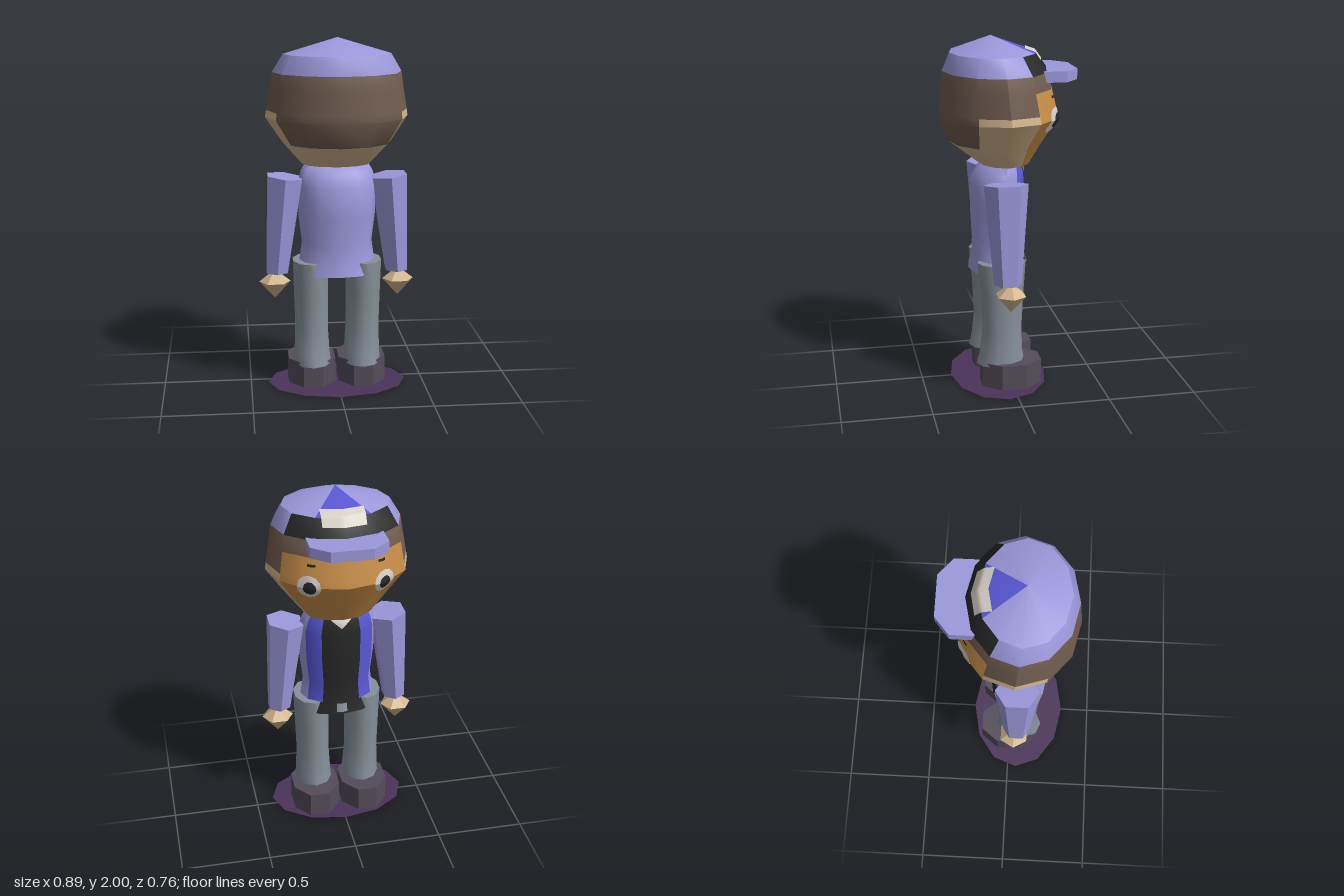
import * as THREE from 'three';
import { toCreasedNormals } from 'three/addons/utils/BufferGeometryUtils.js';

const mat = (name, color) => {
  const m = new THREE.MeshStandardMaterial({ color, side: THREE.DoubleSide });
  m.name = name;
  return m;
};

// Stack of elliptical rings [y, cx, cz, rx, rz, slope]; column 0 starts at -z, the side the figure faces.
// pick(row, k) chooses a material index; k counts columns away from the facing side.
function loft(rings, n, { phase = 0, crease = 0.8, pick = () => 0 } = {}) {
  const pos = [], buckets = [];
  for (const [y, cx, cz, rx, rz, slope = 0] of rings) {
    for (let j = 0; j < n; j++) {
      const t = ((j + phase) / n) * Math.PI * 2;
      const dx = rx * Math.sin(t);
      pos.push(cx + dx, y + dx * slope, cz - rz * Math.cos(t));
    }
  }
  for (let i = 0; i < rings.length - 1; i++) {
    for (let j = 0; j < n; j++) {
      const a = i * n + j, b = i * n + ((j + 1) % n), d = a + n, c = b + n;
      const list = (buckets[pick(i, Math.min(j, n - 1 - j))] ??= []);
      if (rings[i + 1][3] > 0) list.push(a, d, c);
      if (rings[i][3] > 0) list.push(a, c, b);
    }
  }
  const geo = new THREE.BufferGeometry();
  geo.setAttribute('position', new THREE.Float32BufferAttribute(pos, 3));
  const index = [];
  buckets.forEach((list, m) => {
    geo.addGroup(index.length, list.length, m);
    index.push(...list);
  });
  geo.setIndex(index);
  return toCreasedNormals(geo, crease);
}

// Thin patch laid on a target: at(u, v) gives ray starts, cast along dir, lifted back by lift.
function drape(target, at, dir, nu, nv, lift) {
  const ray = new THREE.Raycaster();
  const pos = [], index = [];
  for (let i = 0; i <= nv; i++) {
    for (let j = 0; j <= nu; j++) {
      const start = at(j / nu, i / nv);
      ray.set(start, dir);
      const hit = ray.intersectObject(target)[0];
      const p = (hit ? hit.point : start).clone().addScaledVector(dir, -lift);
      pos.push(p.x, p.y, p.z);
      if (i < nv && j < nu) {
        const a = i * (nu + 1) + j, b = a + 1, c = a + nu + 1;
        index.push(a, c, b, b, c, c + 1);
      }
    }
  }
  const geo = new THREE.BufferGeometry();
  geo.setAttribute('position', new THREE.Float32BufferAttribute(pos, 3));
  geo.setIndex(index);
  geo.computeVertexNormals();
  return geo;
}

export function createModel() {
  const group = new THREE.Group();
  const purple = mat('lilac cloth', 0x9c98dc), blue = mat('blue cloth', 0x5a57d6);
  const black = mat('black', 0x272727), white = mat('off white', 0xdad2c8);
  const hair = mat('brown hair', 0x705c4f), skin = mat('skin', 0xd2b58c);
  const face = mat('orange face', 0xc98f48), grey = mat('grey trousers', 0x87919b);
  const leather = mat('shoe leather', 0x544d5a), shade = mat('dark purple base', 0x4a345a);
  const add = (name, geo, material) => {
    const mesh = new THREE.Mesh(geo, material);
    mesh.name = name;
    group.add(mesh);
    return mesh;
  };
  const V = (x, y, z) => new THREE.Vector3(x, y, z);
  const inward = V(0, 0, 1), down = V(0, -1, 0);

  // Base disc
  const disc = new THREE.CircleGeometry(1, 12).rotateX(-Math.PI / 2).scale(0.4, 1, 0.28);
  add('baseDisc', disc.translate(0, 0.004, 0.05), shade);

  // Head with face, hair and cap crown
  const head = add('head', loft([
    [1.29, 0, 0.015, 0, 0],
    [1.29, 0, 0.015, 0.195, 0.145],
    [1.42, 0, 0.06, 0.305, 0.268],
    [1.56, 0, 0.04, 0.4, 0.337],
    [1.6, 0, 0.043, 0.394, 0.331],
    [1.72, 0, 0.053, 0.374, 0.311],
    [1.81, 0, 0.06, 0.36, 0.297],
    [1.91, 0, 0.075, 0.3, 0.24],
    [2.0, 0, 0.085, 0, 0],
  ], 12, {
    crease: 0.6,
    pick: (row, k) => {
      if (row === 0) return 0;
      if (row === 7) return k < 1 ? 5 : 3;
      if (row === 6) return k < 2 ? 4 : 3;
      if (row === 5) return 2;
      if (k < 2) return 1;
      if (row === 1) return 0;
      return row < 4 && k < 4 ? 0 : 2;
    },
  }), [skin, face, hair, purple, black, blue]);

  // Cap peak
  const peak = new THREE.Shape([
    [-0.21, 0.17], [0.21, 0.17], [0.21, 0.3], [0.115, 0.38], [-0.115, 0.38], [-0.21, 0.3],
  ].map(([x, y]) => new THREE.Vector2(x, y)));
  const peakGeo = new THREE.ExtrudeGeometry(peak, { depth: 0.06, bevelEnabled: false });
  add('capPeak', peakGeo.rotateX(-Math.PI / 2).translate(0, 1.76, 0), purple);

  // Pale patch on the cap
  add('capPatch', drape(head, (u, v) => {
    const x = 0.24 * (u - 0.5);
    return V(x, 3, -0.2 + Math.abs(x) * 0.21 + v * 0.09);
  }, down, 8, 8, 0.008), white);

  // Eyes and brows
  for (const s of [-1, 1]) {
    const oval = (rx, ry) => (u, v) => V(
      s * 0.205 + rx * v * Math.cos(u * Math.PI * 2),
      1.557 + ry * v * Math.sin(u * Math.PI * 2), -2);
    add('eye', drape(head, oval(0.06, 0.072), inward, 12, 4, 0.007), white);
    add('pupil', drape(head, oval(0.033, 0.042), inward, 10, 3, 0.013), black);
    add('brow', drape(head, (u, v) => V(s * 0.19 + 0.04 * (u - 0.5), 1.675 + 0.014 * v, -2),
      inward, 3, 1, 0.006), black);
  }

  // Jacket with open front, dark shirt and belt
  const jacket = add('jacket', loft([
    [0.67, 0, 0.05, 0, 0],
    [0.67, 0, 0.05, 0.245, 0.17],
    [0.74, 0, 0.05, 0.215, 0.152],
    [0.85, 0, 0.05, 0.2, 0.147],
    [1.0, 0, 0.05, 0.218, 0.155],
    [1.18, 0, 0.053, 0.222, 0.157],
    [1.25, 0, 0.035, 0.205, 0.132],
    [1.3, 0, 0.015, 0.175, 0.088],
    [1.3, 0, 0.015, 0, 0],
  ], 12, {
    pick: (row, k) => {
      if (row === 0 || k > 1) return 0;
      return row === 1 || k === 0 ? 2 : 1;
    },
  }), [purple, blue, black]);
  add('collar', drape(jacket, (u, v) => V(0.17 * (u - 0.5) * (1 - v), 1.295 - 0.075 * v, -2),
    inward, 6, 6, 0.008), white);
  add('buckle', drape(jacket, (u, v) => V(0.06 * (u - 0.5), 0.685 + 0.05 * v, -2),
    inward, 4, 2, 0.008), grey);

  // Limbs, mirrored
  for (const s of [-1, 1]) {
    add('arm', loft([
      [0.67, s * 0.343, 0.052, 0, 0],
      [0.67, s * 0.343, 0.052, 0.069, 0.078],
      [1.225, s * 0.295, 0.053, 0.11, 0.125, -0.12 * -s],
      [1.225, s * 0.295, 0.053, 0, 0],
    ], 6, { crease: 0.5 }), purple);
    add('hand', loft([
      [0.68, s * 0.355, 0.037, 0, 0],
      [0.61, s * 0.355, 0.037, 0.09, 0.088],
      [0.51, s * 0.355, 0.037, 0, 0],
    ].reverse(), 6, { phase: 0.5, crease: 0.3 }), skin);
    add('leg', loft([
      [0.13, s * 0.143, 0.058, 0.11, 0.14],
      [0.2, s * 0.145, 0.055, 0.104, 0.125],
      [0.34, s * 0.147, 0.05, 0.097, 0.115],
      [0.55, s * 0.15, 0.05, 0.1, 0.125],
      [0.74, s * 0.152, 0.052, 0.104, 0.14],
      [0.74, s * 0.152, 0.052, 0, 0],
    ], 10), grey);
    add('shoe', loft([
      [0, s * 0.145, 0, 0, 0],
      [0, s * 0.145, 0, 0.146, 0.184],
      [0.15, s * 0.145, 0, 0.146, 0.184],
      [0.15, s * 0.145, 0, 0, 0],
    ], 8, { phase: 0.5, crease: 0.3 }), leather);
  }
  return group;
}
